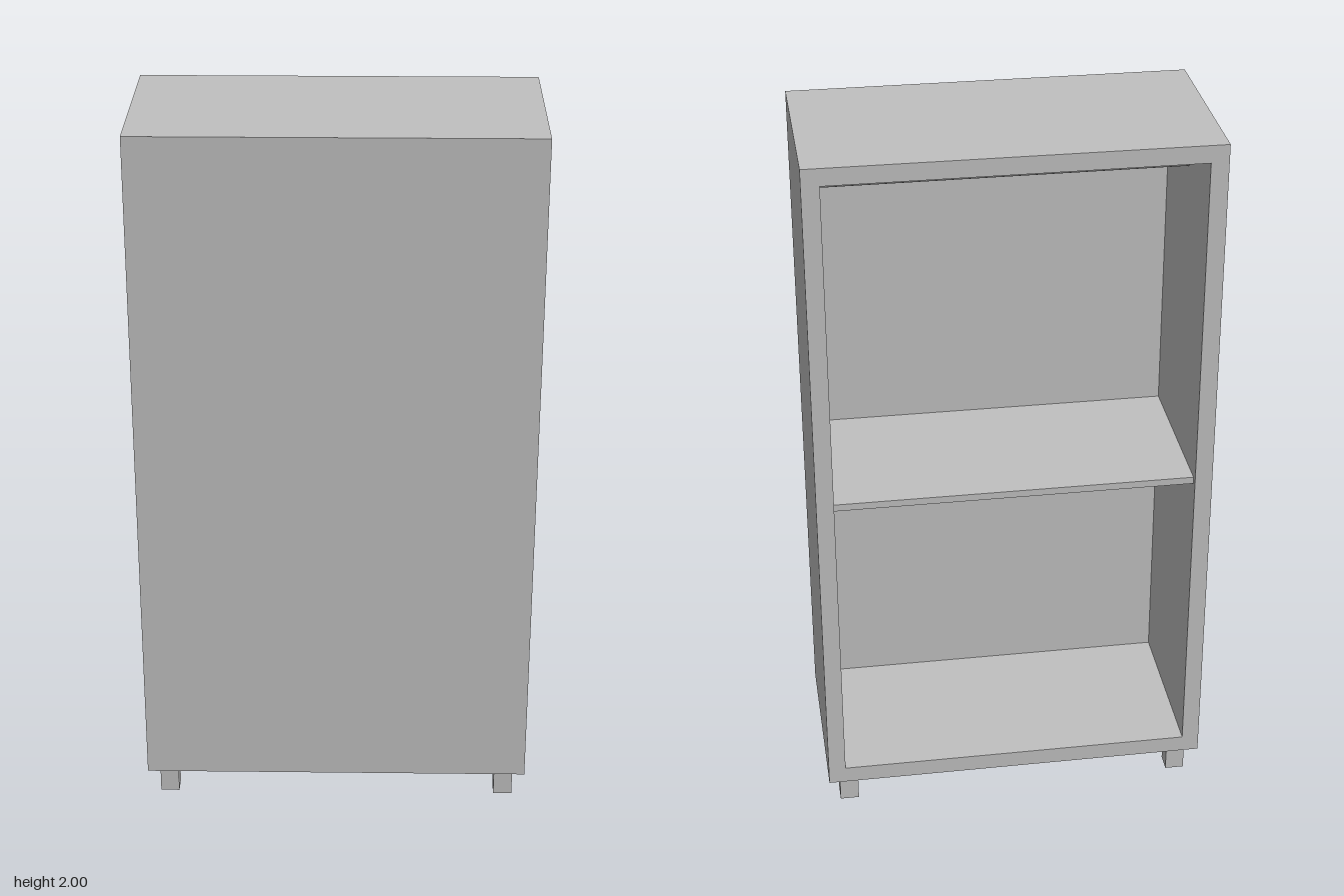
import * as THREE from 'three';

const W = 1.086, D = 0.534, H = 2, LEG_H = 0.09; // overall size
const WALL = 0.048;                              // panel thickness

export function createModel() {
  const model = new THREE.Group();
  model.name = 'wardrobe';
  const grey = new THREE.MeshStandardMaterial({ color: 0xc0c0c0 });
  grey.name = 'light grey';

  const add = (name, geometry, x, y, z) => {
    const mesh = new THREE.Mesh(geometry, grey);
    mesh.name = name;
    mesh.position.set(x, y, z);
    model.add(mesh);
    return mesh;
  };
  const rect = (PathType, x, y0, y1) => new PathType().moveTo(-x, y0)
    .lineTo(x, y0).lineTo(x, y1).lineTo(-x, y1).closePath();

  // Carcass: sides, top and floor as one frame, open at the back
  const frame = rect(THREE.Shape, W / 2, LEG_H, H);
  frame.holes.push(rect(THREE.Path, W / 2 - WALL, LEG_H + WALL, H - WALL));
  add('carcass', new THREE.ExtrudeGeometry(frame, { depth: D, bevelEnabled: false }), 0, 0, -D / 2);

  // Front panel, set into the frame flush with its front edge
  const innerW = W - 2 * WALL;
  add('frontPanel', new THREE.BoxGeometry(innerW, H - LEG_H - 2 * WALL, WALL),
    0, (H + LEG_H) / 2, D / 2 - WALL / 2);

  // Shelf, slightly set back from the opening
  const shelfBack = -D / 2 + 0.02, shelfFront = D / 2 - WALL;
  add('shelf', new THREE.BoxGeometry(innerW, 0.02, shelfFront - shelfBack),
    0, 1.005, (shelfBack + shelfFront) / 2);

  // Hanging rail across the upper compartment
  const rail = add('hangingRail', new THREE.CylinderGeometry(0.013, 0.013, innerW, 16),
    0, 1.857, -WALL / 2);
  rail.rotation.z = Math.PI / 2;

  // Four square legs
  for (const sx of [-1, 1]) {
    for (const sz of [-1, 1]) {
      add(`${sz > 0 ? 'front' : 'back'}${sx > 0 ? 'Left' : 'Right'}Leg`,
        new THREE.BoxGeometry(0.053, LEG_H, 0.053), sx * 0.484, LEG_H / 2, sz * 0.205);
    }
  }
  return model;
}
